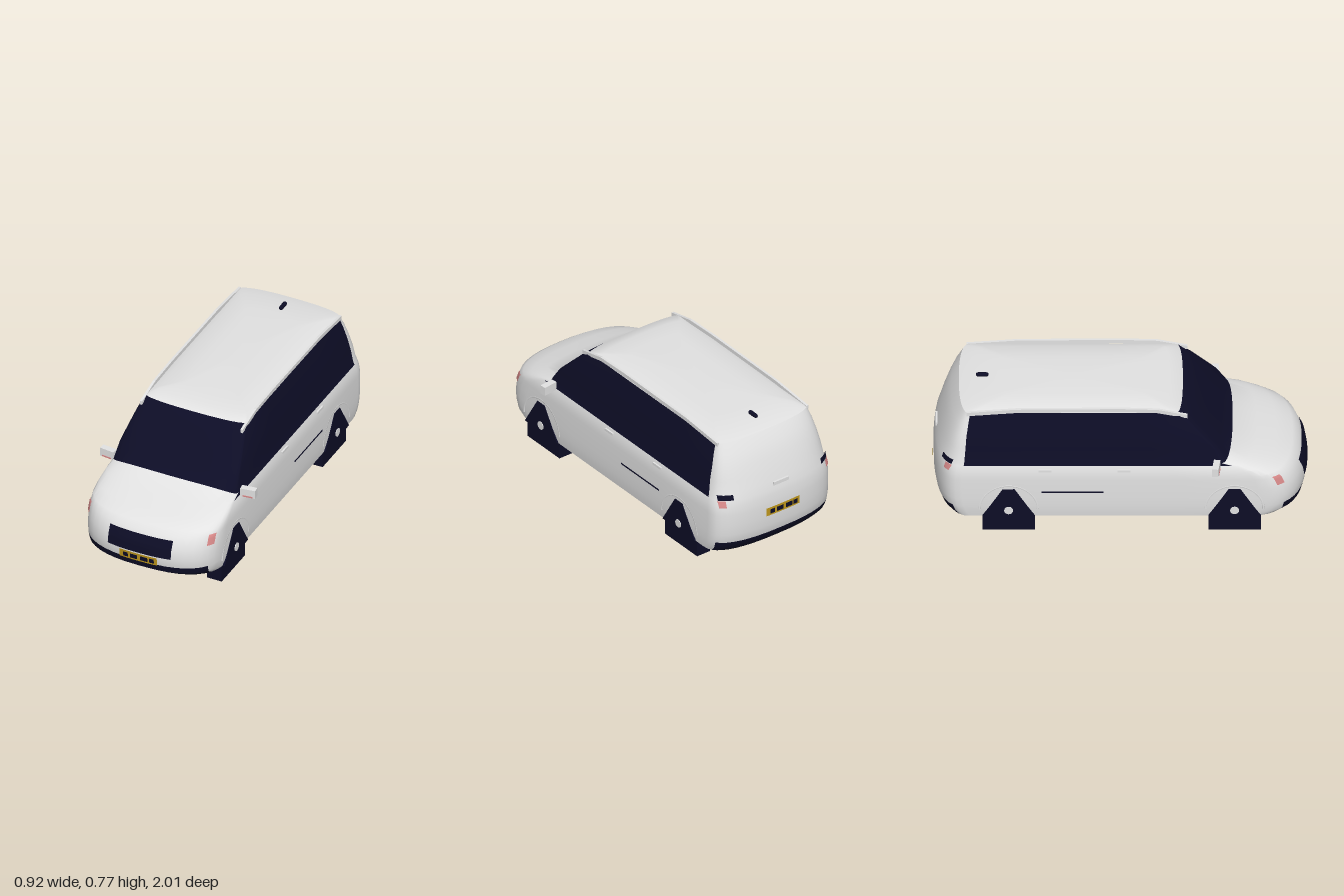
import * as THREE from 'three';
import { toCreasedNormals } from 'three/addons/utils/BufferGeometryUtils.js';

const mat = (name, color) => Object.assign(new THREE.MeshStandardMaterial({ color }), { name });

// Body levels: height, half width, front z, front corner depth, back z, back corner depth
const LEVELS = [
  [0.080, 0.345, 0.88, 0.25, -0.88, 0.14],
  [0.100, 0.383, 0.94, 0.25, -0.94, 0.14],
  [0.130, 0.387, 0.98, 0.25, -0.97, 0.15],
  [0.170, 0.390, 0.99, 0.25, -0.985, 0.15],
  [0.220, 0.391, 0.995, 0.25, -0.993, 0.15],
  [0.280, 0.391, 0.985, 0.25, -0.995, 0.15],
  [0.345, 0.390, 0.955, 0.24, -0.995, 0.15],
  [0.370, 0.389, 0.92, 0.22, -0.993, 0.15],
  [0.400, 0.385, 0.83, 0.17, -0.99, 0.15],
  [0.430, 0.377, 0.73, 0.13, -0.985, 0.15],
  [0.475, 0.371, 0.60, 0.06, -0.972, 0.14],
  [0.530, 0.358, 0.545, 0.05, -0.955, 0.13],
  [0.600, 0.341, 0.475, 0.045, -0.93, 0.11],
  [0.670, 0.322, 0.405, 0.04, -0.90, 0.09],
  [0.730, 0.302, 0.335, 0.04, -0.86, 0.06],
  [0.745, 0.260, 0.265, 0.04, -0.79, 0.06],
  [0.753, 0.160, 0.160, 0.04, -0.65, 0.06],
];
const SILL = 0.1, BUMPER = 0.17, BELT = 0.43, COWL = 0.475, ROOF = 0.73;
const ARC = 10, SIDE = 4, HALF = 2 * ARC + SIDE;   // points along half an outline

// One half of the plan outline at a level, from front centre to back centre
function halfOutline([y, hw, zF, fd, zB, rd]) {
  const pts = [];
  for (let k = 0; k <= HALF; k++) {
    let x = hw, z;
    if (k > ARC && k < ARC + SIDE) {
      z = THREE.MathUtils.lerp(zF - fd, zB + rd, (k - ARC) / SIDE);
    } else {
      const front = k <= ARC;
      const t = (front ? k : HALF - k) / ARC * Math.PI / 2;
      const c = Math.pow(Math.max(0, Math.cos(t)), 0.8);
      x = hw * Math.pow(Math.sin(t), 0.8);
      z = front ? zF - fd + fd * c : zB + rd - rd * c;
    }
    // the foot of the windscreen drops towards the doors
    const drop = y === COWL ? 0.03 * Math.pow(x / hw, 4) : 0;
    pts.push([x, y - drop, z]);
  }
  return pts;
}

function bodyGeometry() {
  const pos = [], paint = [], dark = [], n = 2 * HALF;
  for (const level of LEVELS) {
    const half = halfOutline(level);
    const other = half.slice(1, -1).reverse().map(([x, y, z]) => [-x, y, z]);
    pos.push(...half.flat(), ...other.flat());
  }
  const isDark = (y, k) => {
    if (y < SILL) return true;
    if (y < BUMPER) return k < 7 || k >= HALF - 8;
    if (y < BELT || y >= ROOF) return false;
    return k < ARC + SIDE && (y >= COWL || k >= ARC);
  };
  const last = LEVELS.length - 1, floor = pos.length / 3, roof = floor + 1;
  pos.push(0, 0.07, 0, 0, 0.756, -0.25);
  for (let i = 0; i < n; i++) {
    const j = (i + 1) % n, k = i < HALF ? i : n - 1 - i;
    for (let l = 0; l < last; l++) {
      const a = l * n + i, b = l * n + j, c = b + n, d = a + n;
      (isDark(LEVELS[l][0], k) ? dark : paint).push(a, b, c, a, c, d);
    }
    dark.push(j, i, floor);
    paint.push(last * n + i, last * n + j, roof);
  }
  const g = new THREE.BufferGeometry();
  g.setAttribute('position', new THREE.Float32BufferAttribute(pos, 3));
  g.setIndex([...paint, ...dark]);
  g.addGroup(0, paint.length, 0);
  g.addGroup(paint.length, dark.length, 1);
  return toCreasedNormals(g, 0.6);
}

// z of the body's front (dir 1) or back (dir -1) at x, y
function surfaceZ(x, y, dir) {
  let l = 0;
  while (l < LEVELS.length - 2 && LEVELS[l + 1][0] < y) l++;
  const A = LEVELS[l], B = LEVELS[l + 1], t = (y - A[0]) / (B[0] - A[0]);
  const [, hw, zF, fd, zB, rd] = A.map((v, i) => THREE.MathUtils.lerp(v, B[i], t));
  const c = Math.pow(Math.max(0, 1 - Math.pow(Math.abs(x) / hw, 2.5)), 0.4);
  return dir > 0 ? zF - fd + fd * c : zB + rd - rd * c;
}

// Thin painted patch following the front or back of the body
function patchGeometry(x0, x1, y0, y1, dir, lift) {
  const g = new THREE.PlaneGeometry(x1 - x0, y1 - y0, 10, 6);
  g.translate((x0 + x1) / 2, (y0 + y1) / 2, 0);
  const p = g.attributes.position;
  for (let i = 0; i < p.count; i++) {
    const x = p.getX(i), y = p.getY(i);
    p.setXYZ(i, dir * x * 1.012, y, surfaceZ(x, y, dir) + dir * lift);
  }
  g.computeVertexNormals();
  return g;
}

// Side-view outline of [z, y] points, extruded from x0 to x1
function sideExtrude(points, x0, x1) {
  const shape = new THREE.Shape(points.map(([z, y]) => new THREE.Vector2(-z, y)));
  const g = new THREE.ExtrudeGeometry(shape, { depth: x1 - x0, bevelEnabled: false });
  return g.rotateY(Math.PI / 2).translate(x0, 0, 0);
}

export function createModel() {
  const paint = mat('white paint', 0xe2e2e2);
  const dark = mat('dark glass and trim', 0x0d0d26);
  const yellow = mat('plate yellow', 0xc0981c);
  const pink = mat('lamp pink', 0xd98a8a);

  const model = new THREE.Group();
  model.name = 'van';
  const add = (name, geometry, material) => {
    const m = new THREE.Mesh(geometry, material);
    m.name = name;
    model.add(m);
    return m;
  };
  const box = (name, size, at, material) => {
    const m = add(name, new THREE.BoxGeometry(...size), material);
    m.position.set(...at);
    return m;
  };
  const patch = (name, x0, x1, y0, y1, dir, material, lift = 0.005) =>
    add(name, patchGeometry(x0, x1, y0, y1, dir, lift), material);

  add('body', bodyGeometry(), [paint, dark]);
  patch('grille', -0.185, 0.185, 0.225, 0.328, 1, dark);

  // Plates with four blank blocks each
  for (const [name, y, dir] of [['frontPlate', 0.17, 1], ['backPlate', 0.285, -1]]) {
    patch(name, -0.11, 0.11, y, y + 0.049, dir, yellow, 0.006);
    for (const [x, w] of [[-0.072, 0.028], [-0.024, 0.042], [0.036, 0.042], [0.08, 0.028]]) {
      patch(name + 'Block', x - w / 2, x + w / 2, y + 0.011, y + 0.038, dir, dark, 0.009);
    }
  }
  box('tailgateHandle', [0.1, 0.02, 0.02], [0, 0.46, -0.975], paint);

  // Roof antenna
  const antenna = add('antenna', new THREE.CapsuleGeometry(0.012, 0.045, 4, 10), dark);
  antenna.rotation.x = Math.PI / 2;
  antenna.position.set(0, 0.757, -0.735);

  const railTop = [[0.36, 0.72], [0.2, 0.755], [0, 0.761], [-0.55, 0.757], [-0.82, 0.735]];
  const rail = [...railTop, ...railTop.map(([z, y]) => [z, y - 0.022]).reverse()];
  const tyre = [[0.14, 0], [0.14, 0.105], [0.032, 0.285], [-0.032, 0.285], [-0.14, 0.105], [-0.14, 0]];

  for (const s of [1, -1]) {
    const span = (a, b) => (s > 0 ? [a, b] : [-b, -a]);
    add('roofRail', sideExtrude(rail, ...span(0.293, 0.307)), paint);

    // Lamps
    patch('headlight', ...span(0.347, 0.372), 0.30, 0.355, 1, pink);
    patch('tailLightTop', ...span(0.29, 0.36), 0.435, 0.465, -1, dark);
    patch('tailLight', ...span(0.33, 0.362), 0.395, 0.432, -1, pink);

    // Door mirrors
    const mirror = box('mirror', [0.085, 0.05, 0.035], [s * 0.418, 0.446, 0.512], paint);
    mirror.rotation.y = s * 0.12;
    const strip = box('mirrorLamp', [0.055, 0.008, 0.006], [s * 0.42, 0.427, 0.529], pink);
    strip.rotation.y = s * 0.12;

    // Side details
    for (const z of [0.02, -0.4]) box('doorHandle', [0.016, 0.014, 0.07], [s * 0.383, 0.406, z], paint);
    box('sideStrip', [0.006, 0.008, 0.33], [s * 0.39, 0.265, -0.255], dark);

    // Wheels: full wedge below, flush with the body side above the sill
    for (const z of [0.61, -0.595]) {
      const outline = tyre.map(([dz, y]) => [z + dz, y]);
      add('wheel', sideExtrude(outline, ...span(0.288, 0.376)), dark);
      add('wheelFace', sideExtrude(outline.slice(1, 5), ...span(0.3, 0.394)), dark);
      const hub = add('wheelHub', new THREE.CylinderGeometry(0.024, 0.024, 0.02, 16), paint);
      hub.rotation.z = Math.PI / 2;
      hub.position.set(s * 0.388, 0.145, z);
      const arch = add('wheelArch', new THREE.TorusGeometry(0.155, 0.008, 6, 24, Math.PI), paint);
      arch.rotation.y = Math.PI / 2;
      arch.scale.z = 0.6;
      arch.position.set(s * 0.387, 0.15, z);
    }
  }
  return model;
}
